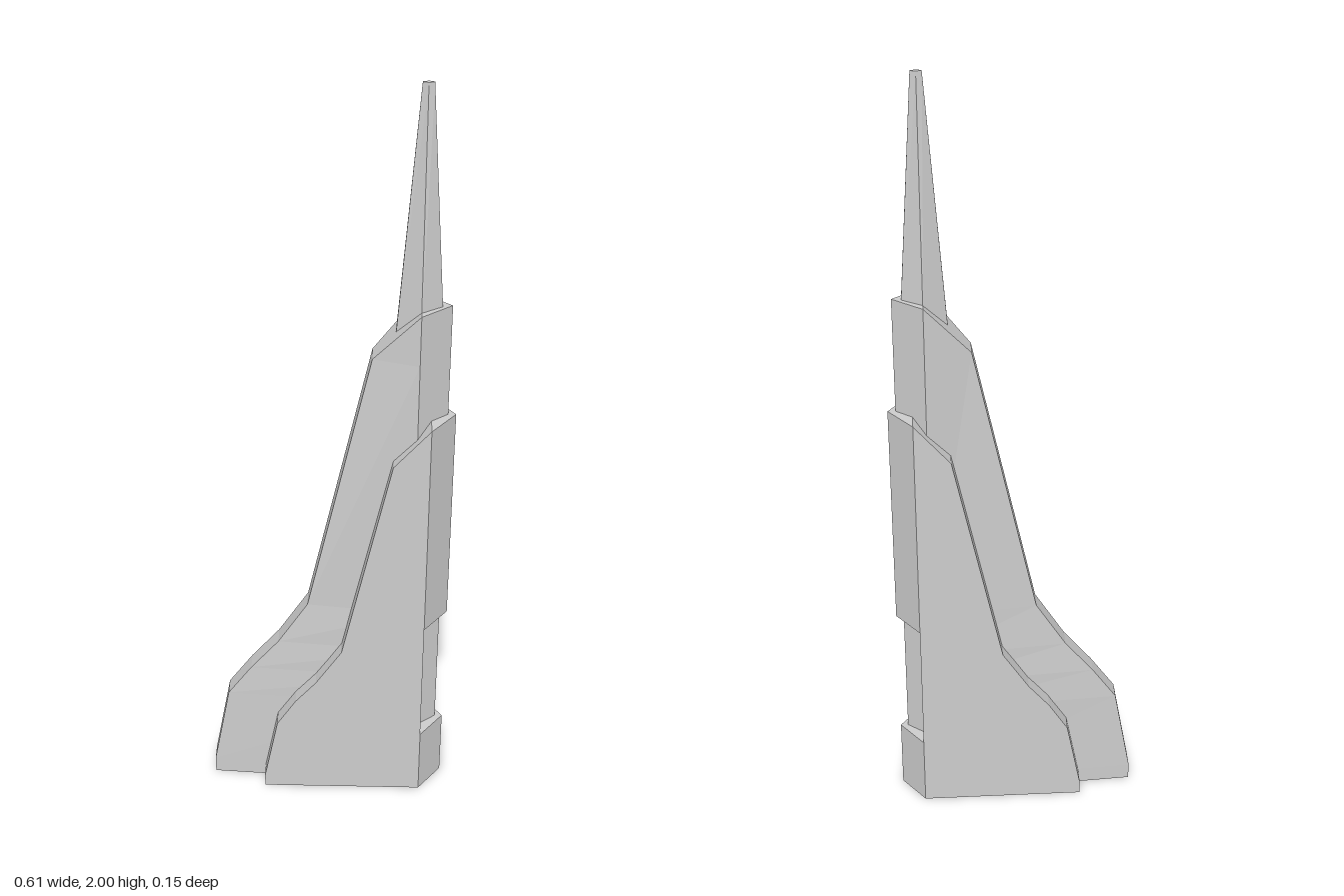
import * as THREE from 'three';

// Skins a stack of convex horizontal rings; each ring is { y, pts: [[x, z], ...] },
// running counter-clockwise seen from above.
function loft(name, rings) {
  const n = rings[0].pts.length;
  const positions = [];
  const at = (r, i) => {
    const [x, z] = rings[r].pts[i % n];
    return [x, rings[r].y, z];
  };
  const tri = (a, b, c) => positions.push(...a, ...b, ...c);
  for (let r = 0; r < rings.length - 1; r++) {
    for (let i = 0; i < n; i++) {
      tri(at(r, i), at(r, i + 1), at(r + 1, i + 1));
      tri(at(r, i), at(r + 1, i + 1), at(r + 1, i));
    }
  }
  const top = rings.length - 1;
  for (let i = 1; i < n - 1; i++) {
    tri(at(0, 0), at(0, i + 1), at(0, i));
    tri(at(top, 0), at(top, i), at(top, i + 1));
  }
  const geometry = new THREE.BufferGeometry();
  geometry.setAttribute('position', new THREE.Float32BufferAttribute(positions, 3));
  geometry.computeVertexNormals();
  const material = new THREE.MeshStandardMaterial({ color: 0xcccccc, flatShading: true });
  const mesh = new THREE.Mesh(geometry, material);
  mesh.name = name;
  return mesh;
}

export function createModel() {
  const group = new THREE.Group();
  group.name = 'finTower';

  // Inner fin: thin curved edge, widening to a spine, then a pointed wedge
  const spineX = 0.213, spineHalf = 0.055, edgeHalf = 0.024;
  const finEdge = [
    [-0.305, 0], [-0.305, 0.045], [-0.262, 0.285], [-0.2, 0.375],
    [-0.128, 0.465], [-0.052, 0.59], [0.103, 1.325], [spineX, 1.457],
  ];
  group.add(loft('fin', finEdge.map(([x, y]) => {
    const h = x === spineX ? spineHalf : edgeHalf;
    return {
      y,
      pts: [[0.285, 0], [spineX, -spineHalf], [x, -h], [x, h], [spineX, spineHalf]],
    };
  })));

  // Outer slab of constant thickness around the fin
  const slabX = 0.245, slabHalf = 0.076;
  const slabEdge = [
    [-0.168, 0], [-0.168, 0.035], [-0.132, 0.225], [-0.083, 0.305],
    [-0.03, 0.37], [0.036, 0.475], [0.157, 1.055], [slabX, 1.16],
  ];
  group.add(loft('slab', slabEdge.map(([x, y]) => ({
    y,
    pts: [[slabX, -slabHalf], [x, -slabHalf], [x, slabHalf], [slabX, slabHalf]],
  }))));

  // Pointed wedges on the slab, leaving a recess between them
  const wedgePts = [[0.304, 0], [slabX, -slabHalf], [slabX, slabHalf]];
  for (const [name, y0, y1] of [['lowerWedge', 0, 0.195], ['upperWedge', 0.555, 1.16]]) {
    group.add(loft(name, [y0, y1].map((y) => ({ y, pts: wedgePts }))));
  }

  // Six-sided tapering spire
  const spireRing = (y, left, right, half, blunt) => ({
    y,
    pts: [[right, blunt], [right, -blunt], [spineX, -half],
      [left, -blunt], [left, blunt], [spineX, half]],
  });
  group.add(loft('spire', [
    spireRing(1.38, 0.156, 0.267, 0.041, 0.007),
    spireRing(2, 0.2, 0.226, 0.005, 0.001),
  ]));

  return group;
}
